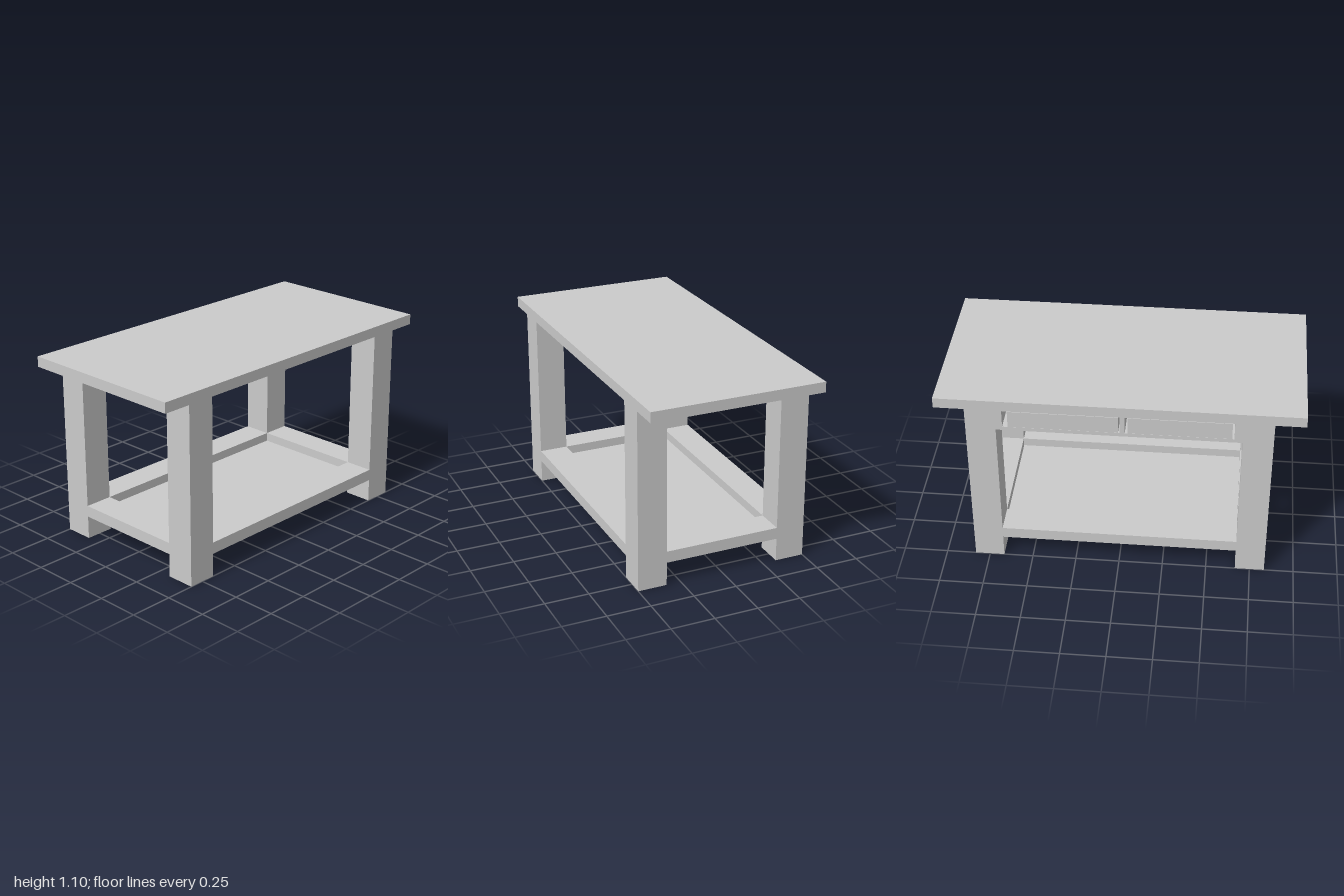
import * as THREE from 'three';

export function createModel() {
  const group = new THREE.Group();
  const material = new THREE.MeshStandardMaterial({ color: 0xcccccc, flatShading: true });

  // Box given by its minimum and maximum on each axis
  function box(name, [x0, x1], [y0, y1], [z0, z1]) {
    const mesh = new THREE.Mesh(new THREE.BoxGeometry(x1 - x0, y1 - y0, z1 - z0), material);
    mesh.position.set((x0 + x1) / 2, (y0 + y1) / 2, (z0 + z1) / 2);
    mesh.name = name;
    group.add(mesh);
  }
  const span = (side, a, b) => (side > 0 ? [a, b] : [-b, -a]);

  const legIn = 0.667, legOut = 0.833, zIn = 0.333, zOut = 0.5;
  const topY = 1.04, railY = [0.135, 0.202];

  box('tableTop', [-1, 1], [topY, 1.1], [-zOut, zOut]);

  // Legs and the shelf frame between them
  for (const s of [-1, 1]) {
    for (const t of [-1, 1]) {
      box('leg', span(s, legIn, legOut), [0, topY], span(t, zIn, zOut));
    }
    box('longRail', [-legIn, legIn], railY, span(s, zIn, zOut));
    box('sideRail', span(s, legIn, legOut), railY, [-zIn, zIn]);
  }
  box('shelfPanel', [-legIn, legIn], [0.135, 0.15], [-zIn, zIn]);

  // Rear apron with two drawer openings
  const outline = new THREE.Shape([
    [-legIn, 0.913], [legIn, 0.913], [legIn, topY], [-legIn, topY],
  ].map(([x, y]) => new THREE.Vector2(x, y)));
  for (const [a, b] of [[-0.622, -0.034], [-0.006, 0.63]]) {
    outline.holes.push(new THREE.Path([
      [a, 0.935], [a, 1.039], [b, 1.039], [b, 0.935],
    ].map(([x, y]) => new THREE.Vector2(x, y))));
  }
  const apron = new THREE.Mesh(
    new THREE.ExtrudeGeometry(outline, { depth: zOut - zIn, bevelEnabled: false }), material);
  apron.position.z = -zOut;
  apron.name = 'apron';
  group.add(apron);

  // Drawers, flush with the apron's outer face
  for (const x of [[-0.61, -0.05], [0.002, 0.6]]) {
    box('drawer', x, [0.936, 1.036], [-zOut, 0.21]);
  }

  return group;
}
